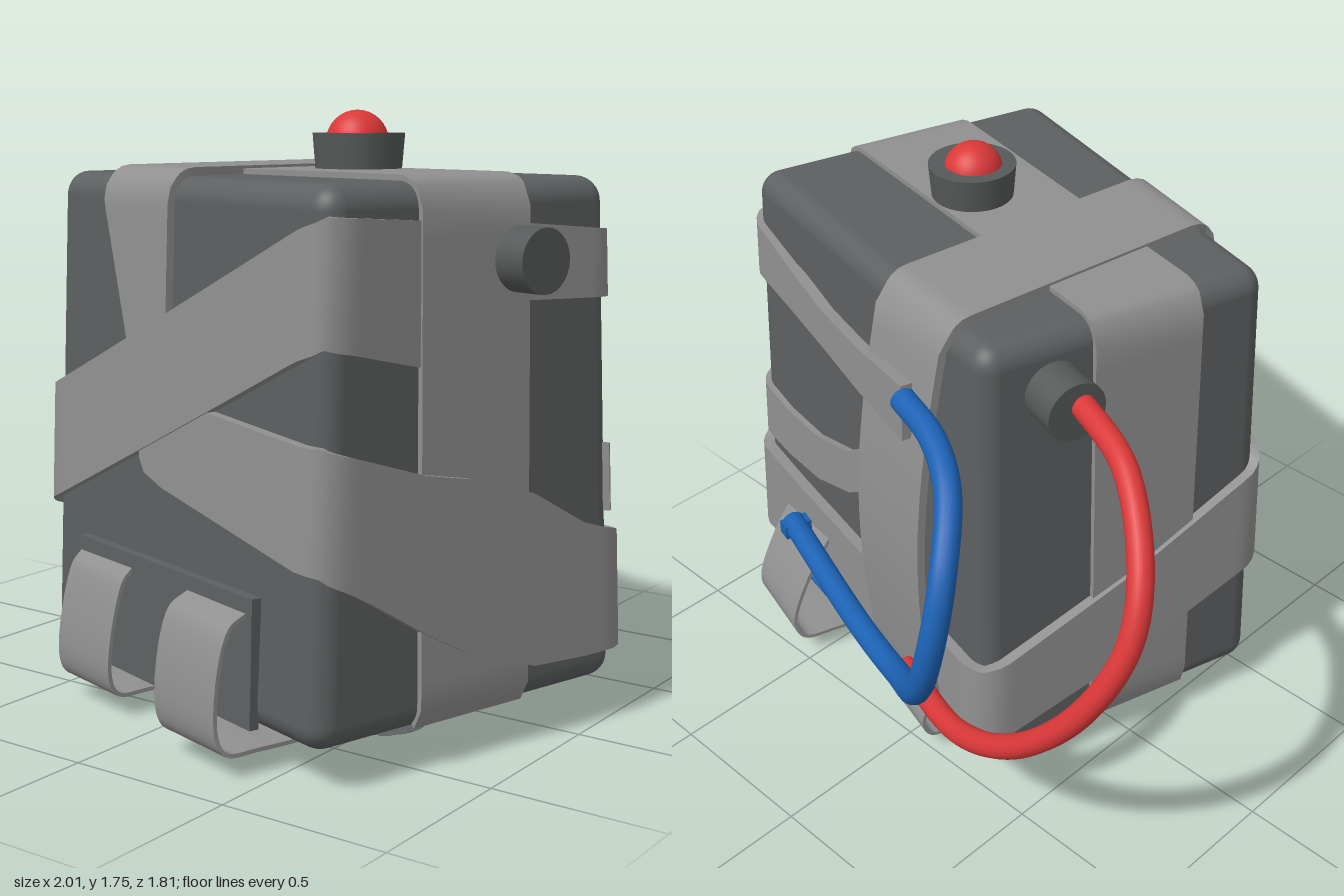
import * as THREE from 'three';
import { toCreasedNormals } from 'three/addons/utils/BufferGeometryUtils.js';
import { RoundedBoxGeometry } from 'three/addons/geometries/RoundedBoxGeometry.js';

const V = (x, y, z) => new THREE.Vector3(x, y, z);
const lerp = THREE.MathUtils.lerp;
const material = (name, color, side = THREE.FrontSide) => {
  const m = new THREE.MeshStandardMaterial({ color, side });
  m.name = name;
  return m;
};

// Box dimensions: half sizes shrink a little towards the top
const Y0 = 0.12, Y1 = 1.58, R = 0.07;
const halfX = y => lerp(0.685, 0.645, (y - Y0) / (Y1 - Y0));
const halfZ = y => lerp(0.525, 0.485, (y - Y0) / (Y1 - Y0));

// The casing is skewed: deeper on its +x side and fuller at the lower front
function skew(v) {
  const k = v.x / 0.66, front = (v.z / 0.5 + 1) / 2, low = (Y1 - v.y) / (Y1 - Y0);
  v.z += lerp(-0.05 * k, 0.015 * (1 + k) * low, front);
  return v;
}

// Point on a rounded rectangle with half sizes hx, hz, pushed out by off
function rounded(px, pz, hx, hz, off) {
  const ix = THREE.MathUtils.clamp(px, R - hx, hx - R);
  const iz = THREE.MathUtils.clamp(pz, R - hz, hz - R);
  const d = new THREE.Vector2(px - ix, pz - iz).normalize();
  return { x: ix + d.x * (R + off), z: iz + d.y * (R + off) };
}

// Point on the walls: a counts corners, 0 = front -x, 1 = front +x, 2 = back +x, 3 = back -x
function wall(a, y, off) {
  const hx = halfX(y), hz = halfZ(y), side = Math.floor(a) % 4, f = a - Math.floor(a);
  const corners = [[-hx, hz], [hx, hz], [hx, -hz], [-hx, -hz]];
  const p = corners[side], q = corners[(side + 1) % 4];
  const r = rounded(lerp(p[0], q[0], f), lerp(p[1], q[1], f), hx, hz, off);
  return skew(V(r.x, y, r.z));
}

// Thin ribbon from rows of four points: inner A, outer A, outer B, inner B
function ribbon(rows) {
  const pos = rows.flatMap(r => r.flatMap(p => [p.x, p.y, p.z]));
  const index = [];
  for (let i = 0; i < rows.length - 1; i++)
    for (let j = 0; j < 4; j++) {
      const a = i * 4 + j, b = i * 4 + (j + 1) % 4;
      index.push(a, b, a + 4, b, b + 4, a + 4);
    }
  const last = (rows.length - 1) * 4;
  index.push(0, 2, 1, 0, 3, 2, last, last + 1, last + 2, last, last + 2, last + 3);
  const g = new THREE.BufferGeometry();
  g.setAttribute('position', new THREE.Float32BufferAttribute(pos, 3));
  g.setIndex(index);
  return toCreasedNormals(g, 0.6);
}

// Tape round the walls; keys are [a, top, bottom, lift]
function wallTape(keys) {
  const rows = [];
  for (let i = 0; i < keys.length - 1; i++) {
    const [k, n] = [keys[i], keys[i + 1]];
    const steps = Math.max(3, Math.ceil((n[0] - k[0]) * 40));
    for (let s = i ? 1 : 0; s <= steps; s++) {
      const [a, top, bot, off] = k.map((v, j) => lerp(v, n[j], s / steps));
      const inner = Math.max(0, off - 0.035);
      rows.push([wall(a, top, inner), wall(a, top, off), wall(a, bot, off), wall(a, bot, inner)]);
    }
  }
  return ribbon(rows);
}

// Tape up one wall, over the top and down the other; edges(k, y) gives its two sides, lift(k, y) its height
function overTape(alongX, yStart, yEnd, edges, lift) {
  const half = alongX ? halfX : halfZ, mid = (Y0 + Y1) / 2, hy = (Y1 - Y0) / 2;
  const path = [];
  for (let i = 0; i <= 20; i++) path.push([-1, lerp(yStart, Y1, i / 20)]);
  for (let i = 1; i < 40; i++) path.push([-1 + i / 20, Y1]);
  for (let i = 0; i <= 20; i++) path.push([1, lerp(Y1, yEnd, i / 20)]);
  return ribbon(path.map(([k, y]) => {
    const h = half(y), off = lift(k, y), [l, r] = edges(k, y);
    const at = (side, o) => {
      const p = rounded(k * h, y - mid, h, hy, o);
      return skew(alongX ? V(p.x, p.z + mid, side) : V(side, p.z + mid, p.x));
    };
    const inner = Math.max(0, off - 0.025);
    return [at(l, inner), at(l, off), at(r, off), at(r, inner)];
  }));
}

// Loose strap under the box, a curve in z and y swept across x
function looseStrap(xFront, xBack, width, points, thick) {
  const curve = new THREE.CatmullRomCurve3(points.map(([z, y]) => V(0, y, z)), false, 'centripetal');
  const rows = [];
  for (let i = 0; i <= 60; i++) {
    const p = curve.getPoint(i / 60), t = curve.getTangent(i / 60);
    const n = V(0, -t.z, t.y).multiplyScalar(thick), x = lerp(xFront, xBack, i / 60);
    const l = V(x - width / 2, p.y, p.z), r = V(x + width / 2, p.y, p.z);
    rows.push([l, l.clone().add(n), r.clone().add(n), r]);
  }
  return ribbon(rows);
}

export function createModel() {
  const dark = material('charcoal casing', 0x5d6061);
  const tape = material('grey tape', 0x909091, THREE.DoubleSide);
  const red = material('red', 0xdb3838);
  const blue = material('blue', 0x1c62b4);
  const knobGrey = material('knob grey', 0x565959);

  const model = new THREE.Group();
  const pack = new THREE.Group();
  pack.name = 'pack';
  pack.position.set(0.179, 0, 0.128);
  pack.rotation.y = -0.28;
  model.add(pack);
  const add = (name, geometry, mat, parent = pack, x = 0, y = 0, z = 0) => {
    const mesh = new THREE.Mesh(geometry, mat);
    mesh.name = name;
    mesh.position.set(x, y, z);
    parent.add(mesh);
    return mesh;
  };

  // Tapered, skewed casing
  const box = new RoundedBoxGeometry(2 * halfX(Y0), Y1 - Y0, 2 * halfZ(Y0), 5, R);
  const p = box.attributes.position;
  for (let i = 0; i < p.count; i++) {
    const y = p.getY(i) + (Y0 + Y1) / 2;
    const v = skew(V(p.getX(i) * halfX(y) / halfX(Y0), y, p.getZ(i) * halfZ(y) / halfZ(Y0)));
    p.setXYZ(i, v.x, v.y, v.z);
  }
  add('casing', box, dark);

  // Tapes over the top; the second narrows down the front and hangs loose at the back
  add('sideToSideTape', overTape(true, 0.13, 0.11,
    k => { const c = lerp(0.06, 0.015, (k + 1) / 2); return [c - 0.185, c + 0.185]; }, () => 0.016), tape);
  add('frontToBackTape', overTape(false, 0.28, 0.84,
    (k, y) => {
      const c = lerp(-0.325, -0.19, (k + 1) / 2);
      const narrow = k === 1 ? 0.33 * Math.max(0, 1.5 - y) : 0;
      return [c - 0.165 + narrow, c + 0.165];
    },
    (k, y) => 0.024 + (k === -1 ? 0.085 * Math.sin(Math.PI * (Y1 - y) / 1.5) : 0)), tape);

  // Long tape winding round the walls and rising across the front
  add('windingTape', wallTape([
    [0.39, 0.98, 0.78, 0.026], [0.41, 0.98, 0.74, 0.026], [0.48, 0.97, 0.71, 0.026], [1, 0.92, 0.59, 0.03],
    [1.15, 0.87, 0.5, 0.032], [1.3, 0.82, 0.4, 0.035], [1.45, 0.79, 0.31, 0.035], [1.67, 0.72, 0.23, 0.035],
    [1.85, 0.61, 0.22, 0.035], [2, 0.56, 0.22, 0.035], [2.2, 0.54, 0.23, 0.035],
    [3, 0.5, 0.22, 0.035], [3.5, 0.68, 0.36, 0.03], [4, 0.92, 0.56, 0.032],
    [5, 1.5, 1.17, 0.034], [5.3, 1.48, 1.1, 0.01], [5.67, 1.46, 1.25, 0.01],
    [6, 1.43, 1.24, 0.02], [6.2, 1.37, 1.22, 0.03], [6.4, 1.34, 1.21, 0.05],
    [6.6, 1.36, 1.21, 0.08], [6.82, 1.4, 1.22, 0.11]]), tape);
  add('backTapeScrap', wallTape([[1.97, 0.82, 0.62, 0.02], [2.15, 0.79, 0.61, 0.02],
    [2.3, 0.8, 0.63, 0.02], [2.45, 0.86, 0.7, 0.02], [2.56, 0.96, 0.8, 0.02]]), tape);

  // Front panel and the two straps slung underneath
  const panel = add('frontPanel', new THREE.BoxGeometry(0.9, 0.36, 0.03), dark, pack, -0.02, 0.31, 0.545);
  panel.rotation.set(-0.03, -0.02, 0);
  for (const [xFront, xBack, front, back] of [[-0.31, -0.31, 0.64, 0.56], [0.26, 0.33, 0.68, 0.72]])
    add('underStrap', looseStrap(xFront, xBack, 0.28, [
      [0.555, 0.45], [front - 0.05, 0.41], [front, 0.14], [front - 0.03, 0.075], [front - 0.15, 0.067],
      [0.15 - back, 0.067], [0.03 - back, 0.075], [-back, 0.14], [0.06 - back, 0.3], [-0.56, 0.45]], 0.012), tape);

  // Rounded foot patch under the casing
  const foot = add('footPatch', new THREE.CapsuleGeometry(0.133, 0.67, 6, 24), dark, pack, -0.01, 0.019, 0.02);
  foot.rotation.z = Math.PI / 2 - 0.012;
  foot.scale.x = 0.05;

  // Push button on top
  add('buttonBase', new THREE.CylinderGeometry(0.132, 0.124, 0.1, 32), knobGrey, model, 0.325, 1.647, 0.135);
  add('buttonDome', new THREE.SphereGeometry(0.09, 32, 16), red, model, 0.32, 1.672, 0.135);

  // Side knobs
  for (const [name, x, y, z] of [['rightKnob', 0.703, 1.365, -0.16], ['leftKnob', -0.71, 1.41, -0.22]]) {
    const knob = add(name, new THREE.CylinderGeometry(0.09, 0.09, 0.13, 28), knobGrey, pack, x, y, z);
    knob.rotation.z = Math.PI / 2;
  }

  // Hoses
  const hose = (name, points, radius, mat, parent = model) => add(name, new THREE.TubeGeometry(
    new THREE.CatmullRomCurve3(points.map(q => V(...q))), 80, radius, 14), mat, parent);
  hose('redHose', [[-0.46, 1.43, -0.26], [-0.75, 1.39, -0.38], [-0.93, 1.22, -0.52], [-0.965, 1.05, -0.6],
    [-0.88, 0.82, -0.68], [-0.68, 0.59, -0.715], [-0.4, 0.42, -0.67], [-0.04, 0.35, -0.54]], 0.036, red);
  hose('blueHose', [[0.64, 0.47, -0.41], [0.1, 0.48, -0.6], [-0.2, 0.54, -0.71], [-0.45, 0.75, -0.86],
    [-0.52, 0.95, -0.87], [-0.51, 1.15, -0.81], [-0.4, 1.3, -0.68], [-0.25, 1.35, -0.59], [-0.07, 1.36, -0.53]], 0.038, blue);
  hose('lowerBlueWire', [[0.47, 0.18, -0.585], [0.2, 0.175, -0.565], [-0.1, 0.17, -0.545]], 0.014, blue, pack);
  add('bluePlug', new THREE.BoxGeometry(0.05, 0.045, 0.09), blue, model, 0.62, 0.465, -0.415).rotation.y = -0.28;
  return model;
}
